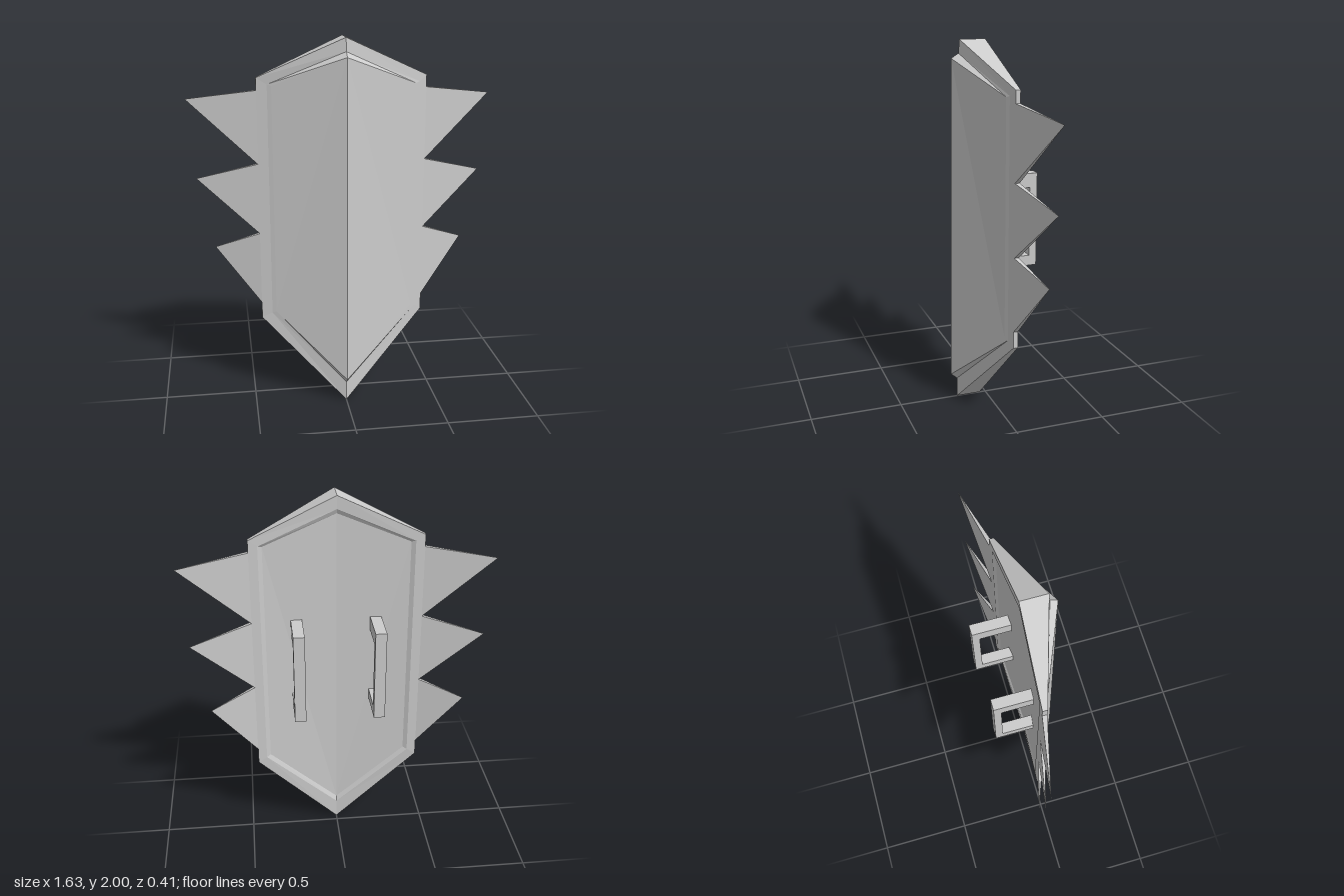
import * as THREE from 'three';

const material = new THREE.MeshStandardMaterial({ color: 0xcccccc, flatShading: true });

// Turns a list of polygons (corners counter-clockwise) into a faceted mesh
function facetMesh(name, polygons) {
  const positions = [];
  for (const p of polygons) {
    for (let i = 1; i < p.length - 1; i++) positions.push(...p[0], ...p[i], ...p[i + 1]);
  }
  const geometry = new THREE.BufferGeometry();
  geometry.setAttribute('position', new THREE.Float32BufferAttribute(positions, 3));
  geometry.computeVertexNormals();
  const mesh = new THREE.Mesh(geometry, material);
  mesh.name = name;
  return mesh;
}

// Six-sided shield outline: top point, two sides, bottom point
function ring({ top, bottom, x, high, low, z, shift = 0 }) {
  return [
    [0, top[0], top[1]],
    [shift - x, high, z],
    [shift - x, low, z],
    [0, bottom[0], bottom[1]],
    [shift + x, low, z],
    [shift + x, high, z],
  ];
}

// Shield body: nested outlines from the raised front panel round to the recessed back
function createBody() {
  const rings = [
    { top: [1.905, 0.185], bottom: [0.14, 0.205], x: 0.38, high: 1.75, low: 0.5, z: 0.03, shift: 0.008 },
    { top: [1.93, 0.145], bottom: [0.11, 0.17], x: 0.402, high: 1.757, low: 0.49, z: 0.02, shift: 0.008 },
    { top: [2, 0.14], bottom: [0, 0.17], x: 0.45, high: 1.79, low: 0.46, z: 0.005 },
    { top: [2, 0], bottom: [0, 0.035], x: 0.45, high: 1.79, low: 0.46, z: -0.02 },
    { top: [1.93, 0.002], bottom: [0.11, 0.033], x: 0.402, high: 1.757, low: 0.49, z: -0.018 },
    { top: [1.905, 0.014], bottom: [0.14, 0.044], x: 0.38, high: 1.75, low: 0.5, z: -0.006 },
  ].map(ring);

  const polygons = [];
  for (let r = 0; r < rings.length - 1; r++) {
    const a = rings[r], b = rings[r + 1];
    for (let i = 0; i < 6; i++) {
      const j = (i + 1) % 6;
      polygons.push([a[i], b[i], b[j], a[j]]);
    }
  }
  // Front and back faces, each folded along the central ridge
  const f = rings[0], k = rings[rings.length - 1];
  polygons.push([f[0], f[1], f[2], f[3]], [f[0], f[3], f[4], f[5]]);
  polygons.push([k[3], k[2], k[1], k[0]], [k[5], k[4], k[3], k[0]]);
  return facetMesh('shieldBody', polygons);
}

// Swept-back wedge spike on one edge
function createSpike(name, side, upper, lower, tipX, tipY) {
  const x = side * 0.45;
  const tip = [side * tipX, tipY, -0.085];
  const uf = [x, upper, 0.005], ub = [x, upper, -0.02];
  const lf = [x, lower, 0.005], lb = [x, lower, -0.02];
  const faces = [[lf, tip, uf], [ub, tip, lb], [uf, tip, ub], [lb, tip, lf]];
  if (side < 0) faces.forEach((face) => face.reverse());
  return facetMesh(name, faces);
}

// Square-bar grip on the back
function createHandle(name, x) {
  const handle = new THREE.Group();
  handle.name = name;
  const bar = (part, height, depth, y, z) => {
    const mesh = new THREE.Mesh(new THREE.BoxGeometry(0.06, height, depth), material);
    mesh.name = part;
    mesh.position.set(x, y, z);
    handle.add(mesh);
  };
  bar('grip', 0.5, 0.04, 1.08, -0.18);
  bar('upperArm', 0.075, 0.18, 1.2925, -0.07);
  bar('lowerArm', 0.055, 0.18, 0.8575, -0.07);
  return handle;
}

export function createModel() {
  const shield = new THREE.Group();
  shield.name = 'shield';
  shield.add(createBody());

  // Spikes: upper base, lower base, tip x, tip y
  const spikes = [
    ['upperSpike', 1.725, 1.335, 0.817, 1.675],
    ['middleSpike', 1.335, 0.95, 0.777, 1.247],
    ['lowerSpike', 0.95, 0.55, 0.69, 0.857],
  ];
  for (const [name, ...shape] of spikes) {
    shield.add(createSpike(name + 'Left', 1, ...shape));
    shield.add(createSpike(name + 'Right', -1, ...shape));
  }

  shield.add(createHandle('handleLeft', 0.215));
  shield.add(createHandle('handleRight', -0.208));
  return shield;
}
